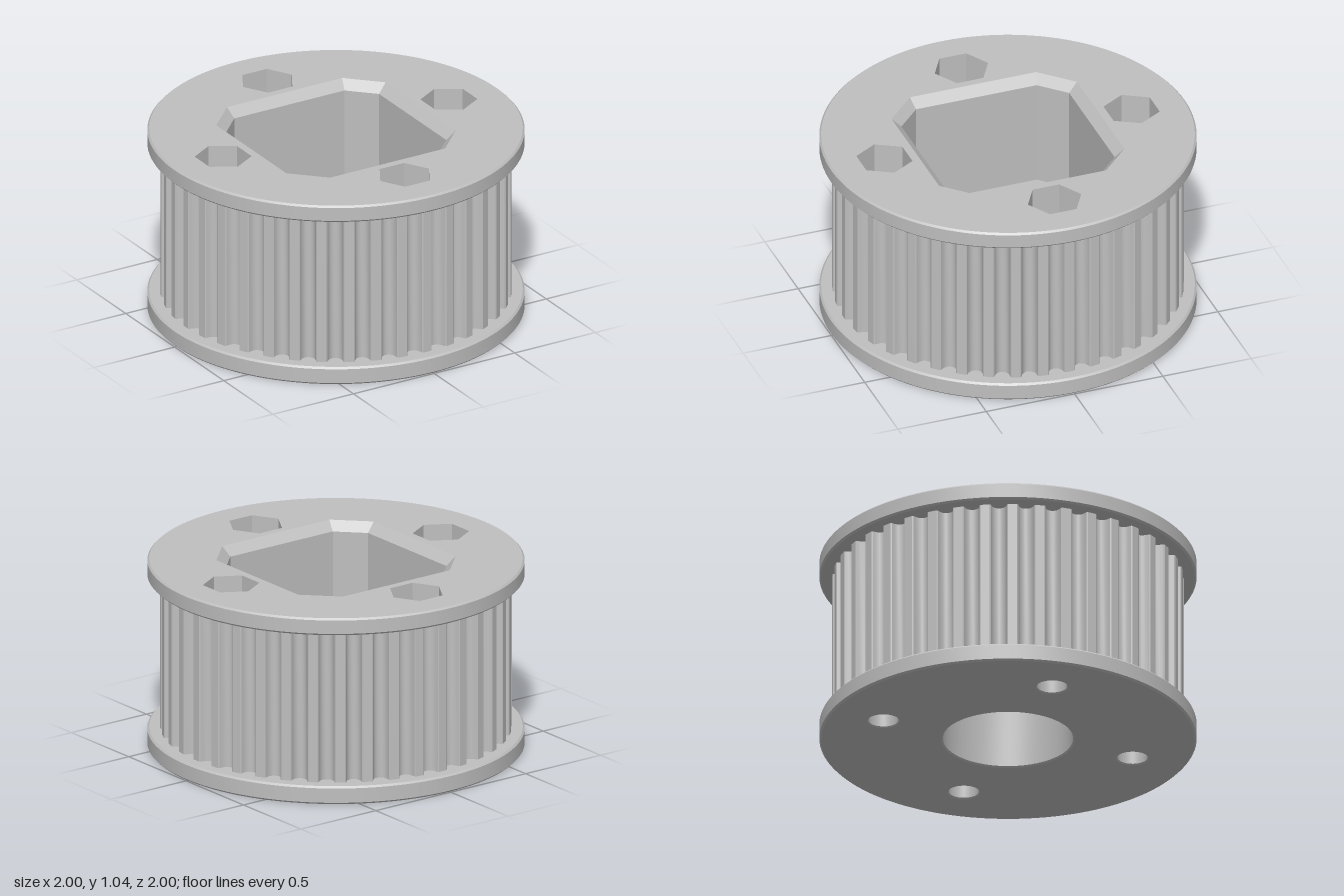
import * as THREE from 'three';
import { mergeGeometries, toCreasedNormals } from 'three/addons/utils/BufferGeometryUtils.js';

const HEIGHT = 1.04, FLANGE_LOW = 0.1, FLANGE_HIGH = 0.945, EDGE = 0.01;
const TEETH = 40, TIP = 0.932;
const POCKET_FLOOR = 0.4, NUT_FLOOR = 0.79;

// Loops are points in the (x, z) plane, ordered from +x towards +z
function ring(radius, sides, cx = 0, cz = 0, phase = 0) {
  return Array.from({ length: sides }, (_, i) => {
    const a = phase + (i / sides) * Math.PI * 2;
    return new THREE.Vector2(cx + radius * Math.cos(a), cz + radius * Math.sin(a));
  });
}

// Wall through a stack of [loop, y] levels; a hole faces its own axis
function wall(levels, hole = false) {
  const pos = [];
  for (let k = 0; k < levels.length - 1; k++) {
    const [low, y0] = levels[k], [high, y1] = levels[k + 1];
    low.forEach((p, i) => {
      const j = (i + 1) % low.length;
      const a = [p.x, y0, p.y], b = [low[j].x, y0, low[j].y];
      const c = [high[j].x, y1, high[j].y], d = [high[i].x, y1, high[i].y];
      const corners = hole ? [a, c, d, a, b, c] : [a, d, c, a, c, b];
      corners.forEach((v) => pos.push(...v));
    });
  }
  const geo = new THREE.BufferGeometry();
  geo.setAttribute('position', new THREE.Float32BufferAttribute(pos, 3));
  return toCreasedNormals(geo, 0.5);
}

// Flat face with holes, looking up or down
function face(outer, holes, y, up = true) {
  const flip = (loop) => loop.map((p) => new THREE.Vector2(p.x, up ? -p.y : p.y));
  const shape = new THREE.Shape(flip(outer));
  holes.forEach((h) => shape.holes.push(new THREE.Path(flip(h))));
  const geo = new THREE.ShapeGeometry(shape).toNonIndexed();
  geo.deleteAttribute('uv');
  return geo.rotateX(up ? -Math.PI / 2 : Math.PI / 2).translate(0, y, 0);
}

// Belt teeth: narrow lands with round-bottomed grooves between them
function toothLoop() {
  const groove = [[-0.049, TIP], [-0.043, 0.927], [-0.039, 0.908], [-0.03, 0.89], [-0.016, 0.88],
    [0, 0.877], [0.016, 0.88], [0.03, 0.89], [0.039, 0.908], [0.043, 0.927], [0.049, TIP]];
  const loop = [];
  for (let i = 0; i < TEETH; i++) {
    const mid = ((i + 0.5) / TEETH) * Math.PI * 2;
    for (const [s, r] of groove) {
      const a = mid + s / TIP;
      loop.push(new THREE.Vector2(r * Math.cos(a), r * Math.sin(a)));
    }
  }
  return loop;
}

// Square with cut corners
function cutSquare(half, corner) {
  return [[half, -corner], [half, corner], [corner, half], [-corner, half],
    [-half, corner], [-half, -corner], [-corner, -half], [corner, -half]]
    .map(([x, z]) => new THREE.Vector2(x, z));
}

export function createModel() {
  const group = new THREE.Group();
  const grey = new THREE.MeshStandardMaterial({ color: 0xbfbfbf });
  grey.name = 'plain grey';
  const add = (name, parts) => {
    const mesh = new THREE.Mesh(mergeGeometries(parts), grey);
    mesh.name = name;
    group.add(mesh);
  };

  const rim = ring(1, 128), rimEdge = ring(1 - EDGE, 128);
  const teeth = toothLoop();
  const bore = ring(0.345, 72), boreEdge = ring(0.353, 72);
  const mouth = cutSquare(0.525, 0.357), pocket = cutSquare(0.475, 0.342);

  // Four bolt holes with nut recesses, flats facing the axis
  const bolts = [0, 1, 2, 3].map((i) => {
    const a = (i * Math.PI) / 2, x = 0.7 * Math.cos(a), z = 0.7 * Math.sin(a);
    return {
      hole: ring(0.08, 32, x, z),
      edge: ring(0.087, 32, x, z),
      hex: ring(0.151, 6, x, z, a + Math.PI / 6),
    };
  });

  const flangeWall = (y0, y1) =>
    wall([[rimEdge, y0], [rim, y0 + EDGE], [rim, y1 - EDGE], [rimEdge, y1]]);

  add('lowerFlange', [
    flangeWall(0, FLANGE_LOW),
    face(rimEdge, [teeth], FLANGE_LOW),
    face(rimEdge, [boreEdge, ...bolts.map((b) => b.edge)], 0, false),
  ]);
  add('upperFlange', [
    flangeWall(FLANGE_HIGH, HEIGHT),
    face(rimEdge, [teeth], FLANGE_HIGH, false),
    face(rimEdge, [mouth, ...bolts.map((b) => b.hex)], HEIGHT),
  ]);
  add('beltTeeth', [wall([[teeth, FLANGE_LOW], [teeth, FLANGE_HIGH]])]);

  // Central pocket with bevelled mouth, stepping down to the round bore
  add('centrePocket', [
    wall([[pocket, POCKET_FLOOR], [pocket, HEIGHT - 0.05], [mouth, HEIGHT]], true),
    face(pocket, [bore], POCKET_FLOOR),
  ]);
  add('shaftBore', [wall([[boreEdge, 0], [bore, 0.008], [bore, POCKET_FLOOR]], true)]);

  bolts.forEach(({ hole, edge, hex }) => {
    add('nutRecess', [
      wall([[hex, NUT_FLOOR], [hex, HEIGHT]], true),
      face(hex, [hole], NUT_FLOOR),
    ]);
    add('boltHole', [wall([[edge, 0], [hole, 0.007], [hole, NUT_FLOOR]], true)]);
  });

  return group;
}
